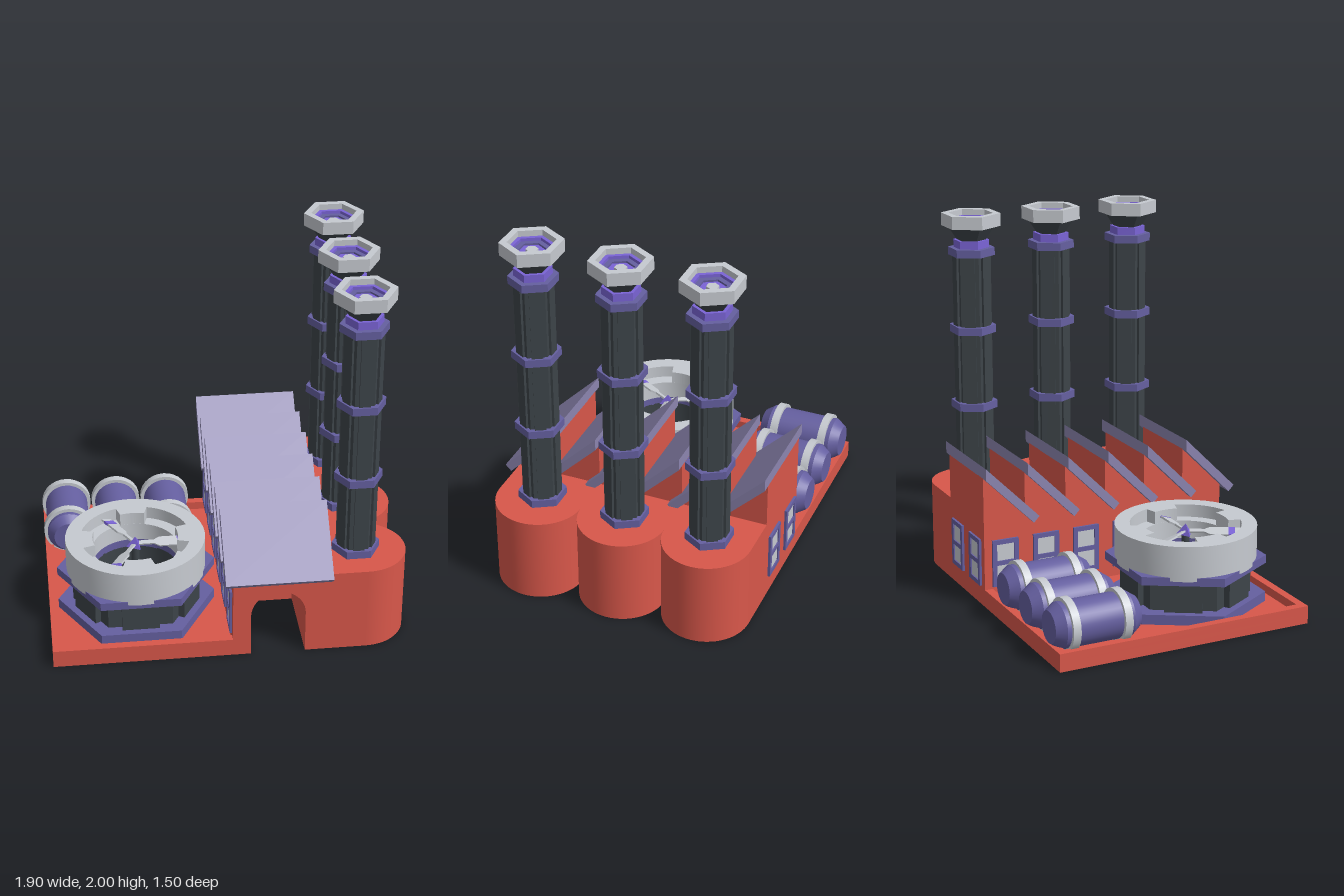
import * as THREE from 'three';
import { toCreasedNormals } from 'three/addons/utils/BufferGeometryUtils.js';

const mat = (name, color) => {
  const m = new THREE.MeshStandardMaterial({ color });
  m.name = name;
  return m;
};
const RED = mat('brick red', 0xd8574a);
const ROOF = mat('roof lavender', 0x8c85b0);
const BAND = mat('slate violet', 0x655fa0);
const BRIGHT = mat('bright violet', 0x7a64d6);
const DARK = mat('dark iron', 0x3d4449);
const GRAY = mat('light gray', 0xc6cad0);

function add(parent, name, geometry, material, x = 0, y = 0, z = 0) {
  const m = new THREE.Mesh(geometry, material);
  m.name = name;
  m.position.set(x, y, z);
  parent.add(m);
  return m;
}
function group(parent, name, x = 0, y = 0, z = 0) {
  const g = new THREE.Group();
  g.name = name;
  g.position.set(x, y, z);
  parent.add(g);
  return g;
}
// Box given by its lower and upper limits
function box(parent, name, material, x0, x1, y0, y1, z0, z1) {
  return add(parent, name, new THREE.BoxGeometry(x1 - x0, y1 - y0, z1 - z0), material,
    (x0 + x1) / 2, (y0 + y1) / 2, (z0 + z1) / 2);
}
// Six-sided prism or frustum with flat faces, corners on the x axis
function hex(parent, name, material, rBottom, rTop, y0, y1) {
  const g = new THREE.CylinderGeometry(rTop, rBottom, y1 - y0, 6, 1, false, Math.PI / 6).toNonIndexed();
  g.computeVertexNormals();
  return add(parent, name, g, material, 0, (y0 + y1) / 2, 0);
}
// Horizontal plate extruded from a plan shape
function slab(parent, name, material, shape, y0, y1) {
  const g = new THREE.ExtrudeGeometry(shape, { depth: y1 - y0, bevelEnabled: false, curveSegments: 40 });
  g.rotateX(-Math.PI / 2);
  return add(parent, name, toCreasedNormals(g, 0.5), material, 0, y0, 0);
}
const polygon = (r, n) => Array.from({ length: n }, (_, i) =>
  new THREE.Vector2(r * Math.cos(i * 2 * Math.PI / n), r * Math.sin(i * 2 * Math.PI / n)));
function ringShape(outer, nOuter, inner, nInner) {
  const s = new THREE.Shape(polygon(outer, nOuter));
  s.holes.push(new THREE.Path(polygon(inner, nInner).reverse()));
  return s;
}
// Raised panels on the six faces of a prism
function panels(parent, name, reach, thick, width, y0, y1) {
  for (let k = 0; k < 6; k++) {
    const a = k * Math.PI / 3, r = reach - thick / 2;
    add(parent, name, new THREE.BoxGeometry(width, y1 - y0, thick), DARK,
      r * Math.sin(a), (y0 + y1) / 2, r * Math.cos(a)).rotation.y = a;
  }
}

const BACK = -0.742, FRONT = 0.682, LOBE = 0.2373, BAY = 0.2373;

function buildHall(root) {
  const hall = group(root, 'hall');
  box(hall, 'hallBody', RED, 0, 0.713, 0, 0.475, BACK, FRONT - 2 * LOBE);
  // Front bay with an arched tunnel
  const s = new THREE.Shape();
  s.moveTo(0, 0);
  s.lineTo(0.095, 0);
  s.lineTo(0.095, 0.24);
  s.absarc(0.24, 0.24, 0.145, Math.PI, 0, true);
  s.lineTo(0.385, 0);
  s.lineTo(0.713, 0);
  s.lineTo(0.713, 0.475);
  s.lineTo(0, 0.475);
  const bay = new THREE.ExtrudeGeometry(s, { depth: 2 * LOBE, bevelEnabled: false, curveSegments: 24 });
  add(hall, 'archBay', toCreasedNormals(bay, 0.5), RED, 0, 0, FRONT - 2 * LOBE);
  // Rounded chimney footings
  for (let i = 0; i < 3; i++) {
    add(hall, 'roundedFooting', new THREE.CylinderGeometry(LOBE, LOBE, 0.475, 32, 1, false, 0, Math.PI), RED,
      0.713, 0.2375, BACK + LOBE * (1 + 2 * i));
  }
  // Sawtooth roof: gables and sloping panels; profiles are (z from the ridge, y)
  const prism = (points, x0, x1) => {
    const g = new THREE.ExtrudeGeometry(new THREE.Shape(points.map(p => new THREE.Vector2(-p[0], p[1]))),
      { depth: x1 - x0, bevelEnabled: false });
    return g.rotateY(Math.PI / 2).translate(x0, 0, 0);
  };
  for (let i = 0; i < 6; i++) {
    const z = BACK + i * BAY;
    add(hall, 'gable', prism([[0, 0.47], [0.237, 0.47], [0.237, 0.485], [0, 0.722]], 0, 0.475), RED, 0, 0, z);
    add(hall, 'roofPanel', prism([[0, 0.785], [0, 0.72], [0.27, 0.45], [0.302, 0.483]], -0.045, 0.52), ROOF, 0, 0, z);
  }
  // Windows, built facing +z
  const addWindow = (x, z, turn) => {
    const w = group(hall, 'window', x, 0, z);
    w.rotation.y = turn;
    for (const e of [-1, 1]) box(w, 'windowJamb', BAND, e * 0.0625 - 0.0125, e * 0.0625 + 0.0125, 0.11, 0.37, 0, 0.013);
    for (const y of [0.1225, 0.24, 0.3575]) box(w, 'windowRail', BAND, -0.05, 0.05, y - 0.0125, y + 0.0125, 0, 0.013);
    box(w, 'windowPane', GRAY, -0.05, 0.05, 0.12, 0.36, 0, 0.006);
  };
  for (let i = 0; i < 6; i++) addWindow(0, BACK + (i + 0.5) * BAY, -Math.PI / 2);
  for (const x of [0.115, 0.36]) addWindow(x, BACK, Math.PI);
}

function buildChimney(root, z) {
  const c = group(root, 'chimney', 0.682, 0, z);
  hex(c, 'chimneyShaft', DARK, 0.102, 0.102, 0.475, 1.8);
  panels(c, 'shaftRib', 0.101, 0.026, 0.06, 0.475, 1.8);
  for (const y of [0.475, 0.91, 1.34, 1.77]) hex(c, 'chimneyBand', BAND, 0.128, 0.128, y, y + 0.043);
  hex(c, 'chimneyNeck', BRIGHT, 0.098, 0.098, 1.81, 1.855);
  hex(c, 'chimneyFlare', DARK, 0.08, 0.13, 1.855, 1.932);
  // Open cap with stepped rings inside
  slab(c, 'chimneyCap', GRAY, ringShape(0.162, 6, 0.122, 6), 1.93, 2);
  slab(c, 'capOuterRing', BRIGHT, ringShape(0.123, 6, 0.1, 6), 1.93, 1.968);
  slab(c, 'capMiddleRing', BAND, ringShape(0.101, 6, 0.07, 6), 1.93, 1.952);
  hex(c, 'capCore', BRIGHT, 0.071, 0.071, 1.93, 1.942);
  hex(c, 'capNozzle', GRAY, 0.032, 0.032, 1.94, 1.955);
}

function buildYard(root) {
  const yard = group(root, 'yard');
  box(yard, 'yardFloor', RED, -0.95, 0, 0, 0.05, BACK, FRONT);
  box(yard, 'yardRimLeft', RED, -0.95, -0.905, 0.05, 0.097, BACK, FRONT);
  box(yard, 'yardRimBack', RED, -0.905, 0, 0.05, 0.097, BACK, BACK + 0.045);
  box(yard, 'yardRimFront', RED, -0.905, 0, 0.05, 0.097, FRONT - 0.045, FRONT);
}

function buildTank(root, x) {
  const t = group(root, 'tank', x, 0.19, -0.503);
  t.rotation.x = Math.PI / 2;
  const profile = [[0, -0.237], [0.085, -0.237], [0.12, -0.187], [0.12, 0.187], [0.085, 0.237], [0, 0.237]];
  const body = new THREE.LatheGeometry(profile.map(p => new THREE.Vector2(...p)), 28);
  add(t, 'tankBody', toCreasedNormals(body, 0.4), BAND);
  for (const y of [-0.143, 0.143]) add(t, 'tankHoop', new THREE.CylinderGeometry(0.139, 0.139, 0.042, 28), GRAY, 0, y, 0);
}

function buildTower(root) {
  const t = group(root, 'coolingTower', -0.474, 0, 0.21);
  slab(t, 'towerBase', BAND, ringShape(0.426, 6, 0.23, 40), 0.05, 0.104);
  slab(t, 'towerBody', DARK, ringShape(0.345, 6, 0.23, 40), 0.104, 0.27);
  panels(t, 'towerPanel', 0.332, 0.05, 0.2, 0.104, 0.27);
  slab(t, 'towerCollar', BAND, ringShape(0.426, 6, 0.23, 40), 0.265, 0.31);
  // Fan housing with four recesses in its inner lip
  slab(t, 'housingWall', GRAY, ringShape(0.376, 48, 0.295, 48), 0.29, 0.48);
  slab(t, 'housingLip', GRAY, ringShape(0.297, 48, 0.23, 48), 0.31, 0.41);
  for (let k = 0; k < 4; k++) {
    const s = new THREE.Shape(), a = k * Math.PI / 2;
    s.absarc(0, 0, 0.297, a - 0.29, a + 0.29, false);
    s.absarc(0, 0, 0.23, a + 0.29, a - 0.29, true);
    slab(t, 'lipBlock', GRAY, s, 0.41, 0.48);
  }
  // Three-bladed fan
  const fan = group(t, 'fan', 0, 0.435, 0);
  const outline = [[0.02, -0.012], [0.1, -0.012], [0.13, -0.03], [0.285, -0.03],
    [0.285, 0.03], [0.13, 0.03], [0.1, 0.012], [0.02, 0.012]];
  for (let k = 0; k < 3; k++) {
    const arm = group(fan, 'fanArm');
    arm.rotation.y = k * 2 * Math.PI / 3;
    const blade = group(arm, 'tiltedBlade');
    blade.rotation.x = 0.35;
    slab(blade, 'fanBlade', GRAY, new THREE.Shape(outline.map(p => new THREE.Vector2(...p))), -0.005, 0.005);
    box(blade, 'bladeStripe', BRIGHT, 0.225, 0.26, -0.007, 0.007, -0.031, 0.031);
  }
  add(fan, 'fanHub', new THREE.ConeGeometry(0.05, 0.06, 3, 1, false, -Math.PI / 2).toNonIndexed(), BRIGHT, 0, 0.01, 0)
    .geometry.computeVertexNormals();
  add(fan, 'fanShaft', new THREE.CylinderGeometry(0.022, 0.022, 0.37, 12), DARK, 0, -0.2, 0);
}

export function createModel() {
  const root = new THREE.Group();
  root.name = 'factory';
  buildYard(root);
  buildHall(root);
  for (let i = 0; i < 3; i++) buildChimney(root, BACK + LOBE * (1 + 2 * i));
  for (const x of [-0.815, -0.53, -0.245]) buildTank(root, x);
  buildTower(root);
  return root;
}
